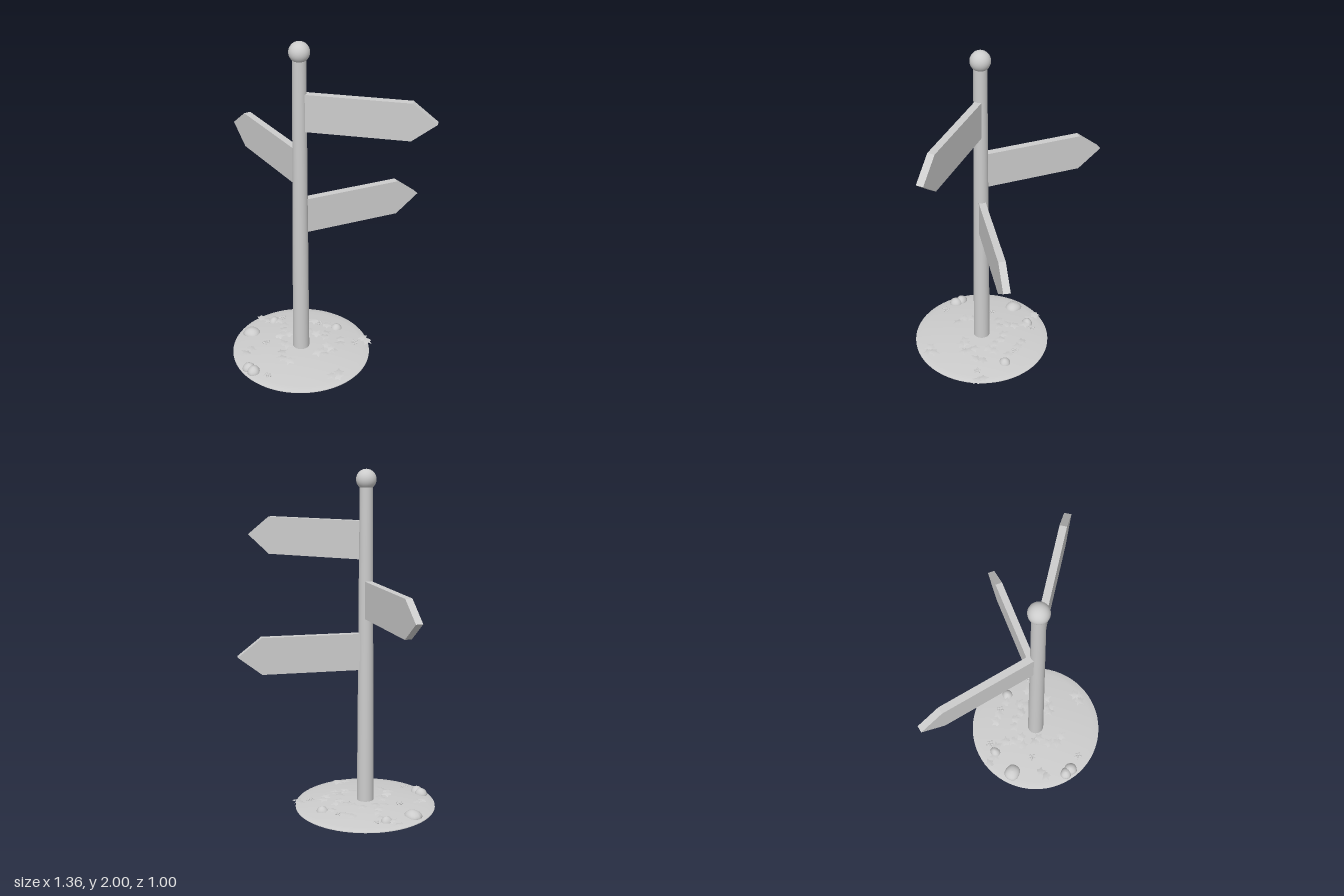
import * as THREE from 'three';

const stone = new THREE.MeshStandardMaterial({ color: 0xcccccc, side: THREE.DoubleSide });
stone.name = 'light grey';

const POST = [-0.028, 0.088], R = 0.413;

// Height of the ground mound at a point
function groundY(x, z) {
  const r = Math.min(1, Math.hypot(x - POST[0], z - POST[1]) / R);
  return 0.037 + 0.031 * (1 - r * r);
}

function part(name, geometry, parent) {
  const mesh = new THREE.Mesh(geometry, stone);
  mesh.name = name;
  parent.add(mesh);
  return mesh;
}

// Lobed ivy leaf lying in XZ, folded along its midrib
function leafGeometry() {
  const half = [[0.1, -0.42], [0.36, -0.34], [0.3, -0.12], [0.52, 0.12], [0.2, 0.14]];
  const outline = [[0, -0.3], ...half, [0, 0.55], ...half.map(([x, y]) => [-x, y]).reverse()];
  const pos = [0, 0.012, 0], index = [];
  outline.forEach(([x, y], i) => {
    pos.push(x * 0.066, 0.012 - Math.abs(x) * 0.014 - Math.abs(y) * 0.008, -y * 0.066);
    index.push(0, 1 + i, 1 + (i + 1) % outline.length);
  });
  const g = new THREE.BufferGeometry();
  g.setAttribute('position', new THREE.Float32BufferAttribute(pos, 3));
  g.setIndex(index);
  g.computeVertexNormals();
  return g;
}

// Slightly lumpy pebble of unit radius
function pebbleGeometry() {
  const g = new THREE.SphereGeometry(1, 16, 12);
  const p = g.attributes.position, v = new THREE.Vector3();
  for (let i = 0; i < p.count; i++) {
    v.fromBufferAttribute(p, i);
    v.multiplyScalar(1 + 0.07 * Math.sin(3 * v.x + 1) * Math.cos(2.5 * v.z));
    p.setXYZ(i, v.x, v.y, v.z);
  }
  g.computeVertexNormals();
  return g;
}

// Pointed board running outwards from the post
function addSign(name, bottom, top, dx, dz, parent) {
  const len = Math.hypot(dx, dz), mid = (bottom + top) / 2;
  const shape = new THREE.Shape([
    [-0.02, bottom], [len - 0.135, bottom], [len, mid], [len - 0.135, top], [-0.02, top],
  ].map(([x, y]) => new THREE.Vector2(x, y)));
  const g = new THREE.ExtrudeGeometry(shape, { depth: 0.04, bevelEnabled: false });
  g.translate(0, 0, -0.02);
  const sign = part(name, g, parent);
  sign.position.set(POST[0], 0, POST[1]);
  sign.rotation.y = Math.atan2(-dz, dx);
}

export function createModel() {
  const model = new THREE.Group();
  model.name = 'signpost';

  // Ground mound with a flat underside
  const profile = [new THREE.Vector2(0, 0.031), new THREE.Vector2(R, 0.031), new THREE.Vector2(R, 0.031)];
  for (let i = 0; i <= 10; i++) {
    const r = R * (1 - i / 10);
    profile.push(new THREE.Vector2(r, groundY(POST[0] + r, POST[1])));
  }
  part('ground', new THREE.LatheGeometry(profile, 64), model).position.set(POST[0], 0, POST[1]);

  // Post and finial
  part('post', new THREE.CylinderGeometry(0.037, 0.05, 1.88, 24), model)
    .position.set(POST[0], 0.98, POST[1]);
  part('finial', new THREE.SphereGeometry(0.057, 32, 20), model)
    .position.set(POST[0], 1.943, POST[1]);

  // Direction boards
  addSign('topSign', 1.5, 1.715, 0.704, -0.22, model);
  addSign('middleSign', 1.166, 1.38, -0.638, -0.352, model);
  addSign('bottomSign', 0.865, 1.077, 0.456, -0.573, model);

  // Pebbles: x, z, radius x, radius z
  const pebble = pebbleGeometry();
  [[-0.367, 0.11, 0.056, 0.05], [-0.2, 0.412, 0.04, 0.036], [-0.16, 0.424, 0.04, 0.042],
    [0.07, -0.182, 0.038, 0.036], [-0.305, -0.055, 0.038, 0.032]].forEach(([x, z, rx, rz], i) => {
    const stoneMesh = part('pebble', pebble, model);
    stoneMesh.position.set(x, 0.041, z);
    stoneMesh.scale.set(rx, 0.036, rz);
    stoneMesh.rotation.y = i * 0.3;
  });

  // Scattered ivy leaves
  const leaf = leafGeometry();
  [[-0.13, -0.155], [-0.08, -0.16], [0.02, -0.165], [0.26, -0.175], [0.295, -0.155],
    [-0.39, -0.05], [-0.34, -0.04], [-0.27, -0.06], [-0.215, -0.03], [-0.19, 0.015],
    [-0.18, 0.08], [-0.105, -0.03], [-0.05, -0.045], [0.005, -0.045], [0.06, -0.04],
    [0.055, -0.08], [0.115, 0.02], [0.175, -0.035], [0.16, -0.08], [0.15, 0.04],
    [0.175, 0.055], [0.115, 0.09], [0.1, 0.12], [0.14, 0.105], [-0.125, 0.135],
    [-0.09, 0.15], [-0.085, 0.215], [-0.06, 0.265], [0, 0.265], [0.29, 0.2],
    [0.27, 0.255], [0.305, 0.23], [-0.285, 0.31], [-0.275, 0.27], [-0.14, 0.04],
  ].forEach(([x, z], i) => {
    const mesh = part('leaf', leaf, model);
    mesh.position.set(x, groundY(x, z) + 0.003, z);
    mesh.rotation.set(0.12 * Math.sin(i * 2.1), i * 2.4, 0.12 * Math.cos(i * 1.7));
  });

  // Small five-petalled flowers
  const petal = new THREE.SphereGeometry(1, 10, 6);
  [[-0.277, -0.11], [0.237, -0.106], [-0.223, 0.172], [-0.062, 0.423], [-0.045, -0.17]].forEach(([x, z]) => {
    const flower = new THREE.Group();
    flower.name = 'flower';
    flower.position.set(x, groundY(x, z) + 0.005, z);
    for (let k = 0; k < 5; k++) {
      const a = k * Math.PI * 0.4;
      const mesh = part('petal', petal, flower);
      mesh.position.set(Math.cos(a) * 0.015, 0, Math.sin(a) * 0.015);
      mesh.scale.set(0.01, 0.003, 0.007);
      mesh.rotation.y = -a;
    }
    part('flowerCentre', petal, flower).scale.set(0.006, 0.005, 0.006);
    model.add(flower);
  });

  return model;
}
